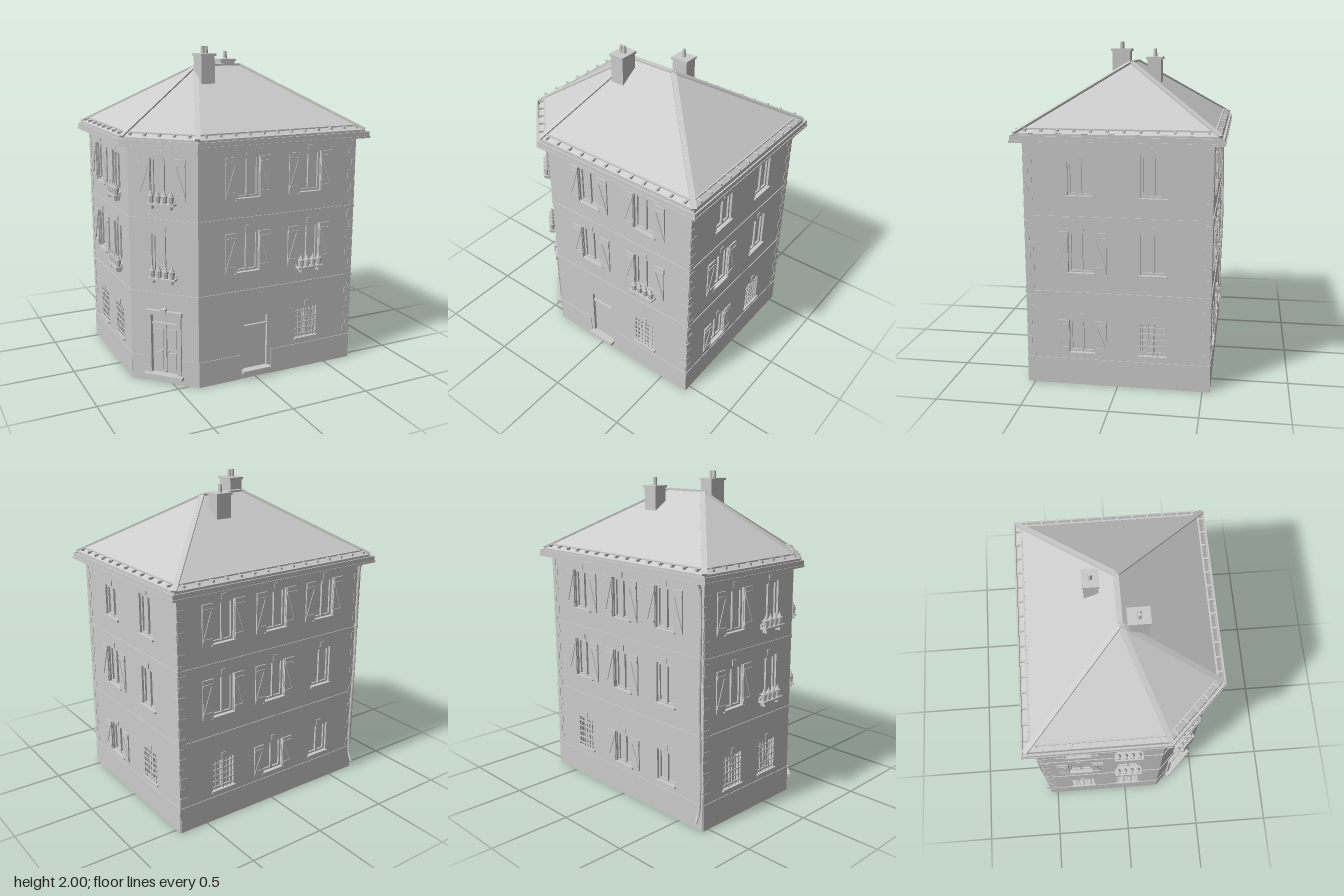
import * as THREE from 'three';

const mat = new THREE.MeshStandardMaterial({ color: 0xcccccc, flatShading: true, side: THREE.DoubleSide });
const WALL_H = 1.455, T = 0.03;

function add(parent, name, geo, x = 0, y = 0, z = 0) {
  const m = new THREE.Mesh(geo, mat);
  m.name = name;
  m.position.set(x, y, z);
  parent.add(m);
  return m;
}
// box given by its centre
const box = (p, name, w, h, d, x, y, z) => add(p, name, new THREE.BoxGeometry(w, h, d), x, y, z);

// footprint with one cut corner, offset outwards by d
const outline = (d) => [
  [-0.38 - 0.414 * d, 0.54 + d], [0.685 + d, 0.54 + d], [0.685 + d, -0.54 - d],
  [-0.69 - d, -0.54 - d], [-0.69 - d, 0.23 + 0.414 * d],
];

// horizontal band around the footprint between two offsets
function ring(p, name, inner, outer, y, h) {
  const pts = (d) => outline(d).map(([x, z]) => new THREE.Vector2(x, -z));
  const s = new THREE.Shape(pts(outer));
  s.holes.push(new THREE.Path(pts(inner)));
  const g = new THREE.ExtrudeGeometry(s, { depth: h, bevelEnabled: false });
  g.rotateX(-Math.PI / 2);
  add(p, name, g, 0, y, 0);
}

// square bar between two points, local y kept upwards
function bar(p, name, a, b, w, h) {
  const A = new THREE.Vector3(...a), B = new THREE.Vector3(...b);
  const m = box(p, name, w, h, A.distanceTo(B), 0, 0, 0);
  m.position.copy(A).add(B).multiplyScalar(0.5);
  m.lookAt(B);
}

function shutter(p, side, w, h) {
  const g = new THREE.Group();
  g.name = 'shutter';
  g.position.set(side * (w / 2 + 0.037), 0, 0.006);
  box(g, 'shutterBoard', 0.072, h, 0.008, 0, 0, 0);
  for (const s of [-1, 1]) box(g, 'shutterBatten', 0.068, 0.014, 0.005, 0, s * h * 0.36, 0.006);
  const brace = box(g, 'shutterBrace', 0.011, Math.hypot(h * 0.7, 0.055), 0.005, 0, 0, 0.006);
  brace.rotation.z = side * Math.atan2(0.055, h * 0.7);
  p.add(g);
}

function flowerBox(p, y) {
  const g = new THREE.Group();
  g.name = 'flowerBox';
  g.position.set(0, y, 0.024);
  box(g, 'planterShelf', 0.175, 0.012, 0.045, 0, -0.03, 0);
  for (const s of [-1, 1]) box(g, 'planterBracket', 0.012, 0.03, 0.035, s * 0.06, -0.045, -0.005);
  for (let i = 0; i < 4; i++) {
    const x = -0.063 + i * 0.042;
    add(g, 'flowerPot', new THREE.CylinderGeometry(0.02, 0.015, 0.045, 8), x, -0.003, 0);
    add(g, 'plant', new THREE.ConeGeometry(0.016, 0.04, 6), x, 0.035, 0);
  }
  p.add(g);
}

// window: opts may hold shutters, bars, flowers
function windowUnit(p, { u, y0, y1, w = 0.15, shutters, bars, flowers }) {
  const h = y1 - y0, g = new THREE.Group();
  g.name = 'window';
  g.position.set(u, (y0 + y1) / 2, 0);
  box(g, 'windowPane', w, h, 0.006, 0, 0, -T + 0.003);
  for (const s of [-1, 1]) {
    box(g, 'windowStile', 0.014, h, 0.014, s * (w / 2 - 0.007), 0, -0.02);
    box(g, 'windowRail', w, 0.014, 0.014, 0, s * (h / 2 - 0.007), -0.02);
  }
  box(g, 'windowMullion', 0.014, h, 0.016, 0, 0, -0.019);
  box(g, 'windowSill', w + 0.02, 0.012, 0.025, 0, -h / 2 - 0.004, 0);
  box(g, 'keystone', 0.03, 0.035, 0.01, 0, h / 2 + 0.025, 0);
  if (shutters) for (const s of [-1, 1]) shutter(g, s, w, h);
  if (bars) {
    for (let i = -2; i <= 2; i++) box(g, 'verticalBar', 0.006, h, 0.006, i * 0.027, 0, -0.002);
    for (let i = -2; i <= 2; i++) box(g, 'horizontalBar', w, 0.006, 0.006, 0, i * h * 0.19, 0);
  }
  if (flowers) flowerBox(g, -h / 2 + 0.01);
  p.add(g);
}

function doorUnit(p, { u, y0, y1, w, grand }) {
  const h = y1 - y0, g = new THREE.Group();
  g.name = 'door';
  g.position.set(u, (y0 + y1) / 2, 0);
  box(g, 'doorLeaf', w, h, 0.01, 0, 0, -0.025);
  box(g, 'doorTransom', w, 0.012, 0.02, 0, h / 2 - 0.06, -0.015);
  box(g, 'doorStep', w + (grand ? 0.08 : 0.03), 0.02, 0.05, 0, -h / 2, 0.012);
  if (grand) {
    box(g, 'doorMeeting', 0.014, h - 0.06, 0.012, 0, -0.03, -0.014);
    for (const s of [-1, 1]) {
      box(g, 'doorSurround', 0.025, h + 0.01, 0.015, s * (w / 2 + 0.012), 0, 0.005);
      box(g, 'doorPanel', w * 0.3, h * 0.28, 0.008, s * w * 0.25, -h * 0.28, -0.017);
      box(g, 'doorPanel', w * 0.3, h * 0.33, 0.008, s * w * 0.25, h * 0.08, -0.017);
      add(g, 'doorKnob', new THREE.SphereGeometry(0.008, 8, 6), s * 0.02, -0.04, -0.008);
    }
    box(g, 'doorLintel', w + 0.06, 0.028, 0.025, 0, h / 2 + 0.016, 0.008);
    box(g, 'keystone', 0.035, 0.05, 0.035, 0, h / 2 + 0.02, 0.01);
  }
  p.add(g);
}

// wall panel with openings; local x runs along the wall, local z points outwards
function wall(p, name, len, cx, cz, angle, windows, door, quoins) {
  const g = new THREE.Group();
  g.name = name;
  g.position.set(cx, 0, cz);
  g.rotation.y = angle;
  const L = len / 2;
  const rect = (S, x0, y0, x1, y1) =>
    new S([[x0, y0], [x1, y0], [x1, y1], [x0, y1]].map((c) => new THREE.Vector2(...c)));
  const s = rect(THREE.Shape, -L, 0, L, WALL_H);
  for (const o of [...windows, ...(door ? [door] : [])]) {
    const w = o.w || 0.15;
    s.holes.push(rect(THREE.Path, o.u - w / 2, o.y0, o.u + w / 2, o.y1));
  }
  add(g, 'wallPanel', new THREE.ExtrudeGeometry(s, { depth: T, bevelEnabled: false }), 0, 0, -T);
  windows.forEach((o) => windowUnit(g, o));
  if (door) doorUnit(g, door);
  // plinth, interrupted by the door
  const gap = door ? door.w / 2 + 0.025 : 0;
  const runs = door ? [[-L, door.u - gap], [door.u + gap, L]] : [[-L, L]];
  for (const [a, b] of runs) box(g, 'plinth', b - a, 0.16, 0.006, (a + b) / 2, 0.08, 0.001);
  // alternating corner stones
  for (const side of quoins)
    for (let i = 0; i < 20; i++) {
      const w = i % 2 ? 0.028 : 0.05;
      box(g, 'cornerStone', w, 0.052, 0.005, side * (L - w / 2), 0.2 + i * 0.064, 0.0005);
    }
  p.add(g);
}

const TOP = { y0: 1.14, y1: 1.385 }, MID = { y0: 0.69, y1: 0.935 }, LOW = { y0: 0.2, y1: 0.4 };
const S = { shutters: true }, B = { bars: true }, F = { flowers: true };
const win = (u, row, ...opts) => Object.assign({ u }, row, ...opts);

function buildRoof(root) {
  const roof = new THREE.Group();
  roof.name = 'roof';
  const eave = outline(0.038).map(([x, z]) => [x, 1.503, z]);
  const A = [-0.15, 1.88, 0], C = [0.15, 1.88, 0];
  const apex = [A, C, C, A, A], v = [];
  eave.forEach((p, i) => {
    const q = eave[(i + 1) % 5], a = apex[i], b = apex[(i + 1) % 5];
    v.push(...p, ...q, ...b);
    if (a !== b) v.push(...p, ...b, ...a);
    bar(roof, 'hipCap', p, a, 0.03, 0.012);
  });
  const geo = new THREE.BufferGeometry();
  geo.setAttribute('position', new THREE.Float32BufferAttribute(v, 3));
  geo.computeVertexNormals();
  add(roof, 'roofSlopes', geo);
  bar(roof, 'ridgeCap', A, C, 0.03, 0.012);

  // eaves, gutter and its brackets
  ring(roof, 'soffit', -0.03, 0.062, 1.45, 0.012);
  ring(roof, 'fascia', 0.02, 0.038, 1.46, 0.04);
  ring(roof, 'gutterLip', 0.049, 0.058, 1.46, 0.03);
  const edge = outline(0.022), inner = outline(0.006);
  edge.forEach(([x, z], i) => {
    const [x2, z2] = edge[(i + 1) % 5];
    const len = Math.hypot(x2 - x, z2 - z), n = Math.round(len / 0.095);
    for (let k = 0; k < n; k++) {
      const t = (k + 0.5) / n;
      const b = box(roof, 'gutterBracket', 0.012, 0.014, 0.04, x + (x2 - x) * t, 1.518, z + (z2 - z) * t);
      b.rotation.y = Math.atan2(-(z2 - z), x2 - x);
    }
    const [a, c] = [inner[i], inner[(i + 1) % 5]];
    bar(roof, 'eaveRail', [a[0], 1.524, a[1]], [c[0], 1.524, c[1]], 0.01, 0.01);
  });
  root.add(roof);
}

function chimney(root, x, z, w, d, y0, y1, pots, potH) {
  const g = new THREE.Group();
  g.name = 'chimney';
  g.position.set(x, 0, z);
  box(g, 'chimneyStack', w, y1 - y0, d, 0, (y0 + y1) / 2, 0);
  box(g, 'chimneyCap', w + 0.014, 0.015, d + 0.014, 0, y1 + 0.0075, 0);
  for (const px of pots)
    add(g, 'chimneyPot', new THREE.CylinderGeometry(0.011, 0.013, potH, 10), px, y1 + 0.015 + potH / 2, 0);
  root.add(g);
}

export function createModel() {
  const root = new THREE.Group();
  root.name = 'townHouse';

  wall(root, 'frontWall', 1.065, 0.1525, 0.54, 0, [
    win(-0.2125, TOP, S), win(0.2075, TOP, S), win(-0.2125, MID, S), win(0.2075, MID, S, F), win(0.205, LOW, B),
  ], { u: -0.1525, y0: 0.05, y1: 0.395, w: 0.16 }, [1]);
  wall(root, 'leftWall', 1.08, 0.685, 0, Math.PI / 2, [
    win(-0.21, { y0: 1.145, y1: 1.34 }), win(0.208, TOP), win(-0.21, MID, S), win(0.208, MID),
    win(-0.21, LOW, S), win(0.208, LOW, B),
  ], null, [-1, 1]);
  wall(root, 'backWall', 1.375, -0.0025, -0.54, Math.PI, [
    win(-0.38, TOP, S), win(0, TOP, S), win(0.38, TOP, S),
    win(-0.38, MID, S), win(0, MID, S), win(0.38, MID),
    win(-0.38, LOW, B), win(0, LOW, S), win(0.38, LOW),
  ], null, [-1, 1]);
  wall(root, 'rightWall', 0.77, -0.69, -0.155, -Math.PI / 2, [
    win(-0.14, TOP, S), win(0.17, TOP, F), win(-0.14, MID, S), win(0.17, MID, F),
    win(-0.14, LOW, B), win(0.17, LOW, B),
  ], null, [-1]);
  wall(root, 'cornerWall', 0.4384, -0.535, 0.385, -Math.PI / 4, [
    win(0, TOP, S, F), win(0, MID, F),
  ], { u: 0, y0: 0.05, y1: 0.435, w: 0.17, grand: true }, []);

  // string courses between storeys
  for (const y of [0.56, 1.012]) ring(root, 'stringCourse', -0.01, 0.005, y, 0.014);

  buildRoof(root);
  chimney(root, -0.14, 0.102, 0.088, 0.115, 1.7, 1.94, [-0.011, 0.011], 0.045);
  chimney(root, 0.12, -0.145, 0.1, 0.085, 1.72, 1.895, [0], 0.05);

  // downpipe at the rear corner
  const path = new THREE.CatmullRomCurve3([
    [-0.67, 1.46, -0.57], [-0.67, 1.42, -0.552], [-0.67, 0.8, -0.552], [-0.67, 0.12, -0.552], [-0.67, 0.06, -0.577],
  ].map((p) => new THREE.Vector3(...p)), false, 'centripetal');
  add(root, 'downpipe', new THREE.TubeGeometry(path, 32, 0.008, 8));
  return root;
}
